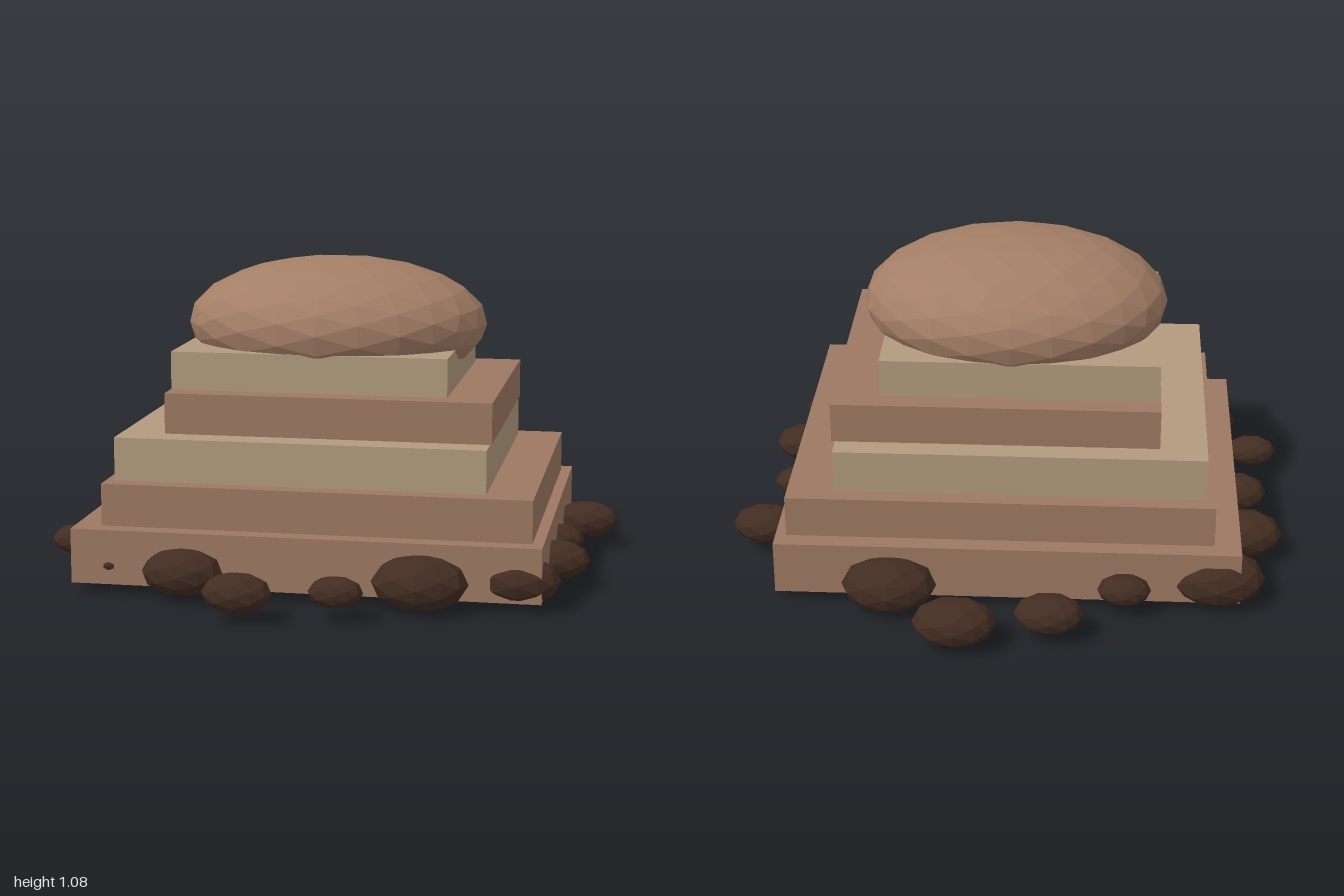
import * as THREE from 'three';

export function createModel() {
  const model = new THREE.Group();
  model.name = 'steppedShrine';

  const paint = (name, color) => {
    const m = new THREE.MeshStandardMaterial({ color, flatShading: true });
    m.name = name;
    return m;
  };
  const clay = paint('clay brown', 0x9c7861);
  const sand = paint('sandstone', 0xb29a7d);
  const boulderBrown = paint('boulder brown', 0xa47e66);
  const darkRock = paint('dark rock', 0x432d22);

  // Stepped slabs: x from, x to, y from, y to, z from, z to
  const slabs = [
    [-0.80, 0.772, 0.035, 0.22, -0.652, 0.662],
    [-0.71, 0.735, 0.22, 0.363, -0.59, 0.60],
    [-0.68, 0.576, 0.363, 0.51, -0.53, 0.54],
    [-0.52, 0.586, 0.517, 0.655, -0.465, 0.477],
    [-0.516, 0.427, 0.655, 0.785, -0.39, 0.40],
  ];
  slabs.forEach(([x0, x1, y0, y1, z0, z1], i) => {
    const slab = new THREE.Mesh(
      new THREE.BoxGeometry(x1 - x0, y1 - y0, z1 - z0),
      i === 2 || i === 4 ? sand : clay
    );
    slab.position.set((x0 + x1) / 2, (y0 + y1) / 2, (z0 + z1) / 2);
    slab.name = `slab${i + 1}`;
    model.add(slab);
  });

  // Faceted boulder resting on the top slab
  const boulder = new THREE.Mesh(new THREE.IcosahedronGeometry(1, 3), boulderBrown);
  boulder.scale.set(0.527, 0.23, 0.42);
  boulder.position.set(-0.014, 0.85, 0.005);
  boulder.name = 'boulder';
  model.add(boulder);

  // Ring of flattened rocks around the base: x, z, half width
  const rocks = [
    [0.775, 0, 0.09], [0.79, 0.297, 0.115], [0.69, 0.592, 0.14],
    [0.38, 0.69, 0.16], [0.133, 0.848, 0.09], [-0.175, 0.912, 0.115],
    [-0.41, 0.692, 0.137], [-0.67, 0.555, 0.162], [-0.882, 0.317, 0.092],
    [-0.805, 0, 0.115], [-0.82, -0.29, 0.14], [-0.72, -0.588, 0.165],
    [-0.41, -0.683, 0.09], [-0.163, -0.84, 0.115], [0.145, -0.905, 0.138],
    [0.38, -0.685, 0.16], [0.852, -0.31, 0.115],
  ];
  const rockShape = new THREE.IcosahedronGeometry(1, 1);
  const ring = new THREE.Group();
  ring.name = 'rockRing';
  rocks.forEach(([x, z, r], i) => {
    const rock = new THREE.Mesh(rockShape, darkRock);
    rock.scale.set(r, r * 0.58, r * 0.69);
    rock.position.set(x, 0.097, z);
    rock.name = `rock${i + 1}`;
    ring.add(rock);
  });
  model.add(ring);

  return model;
}
